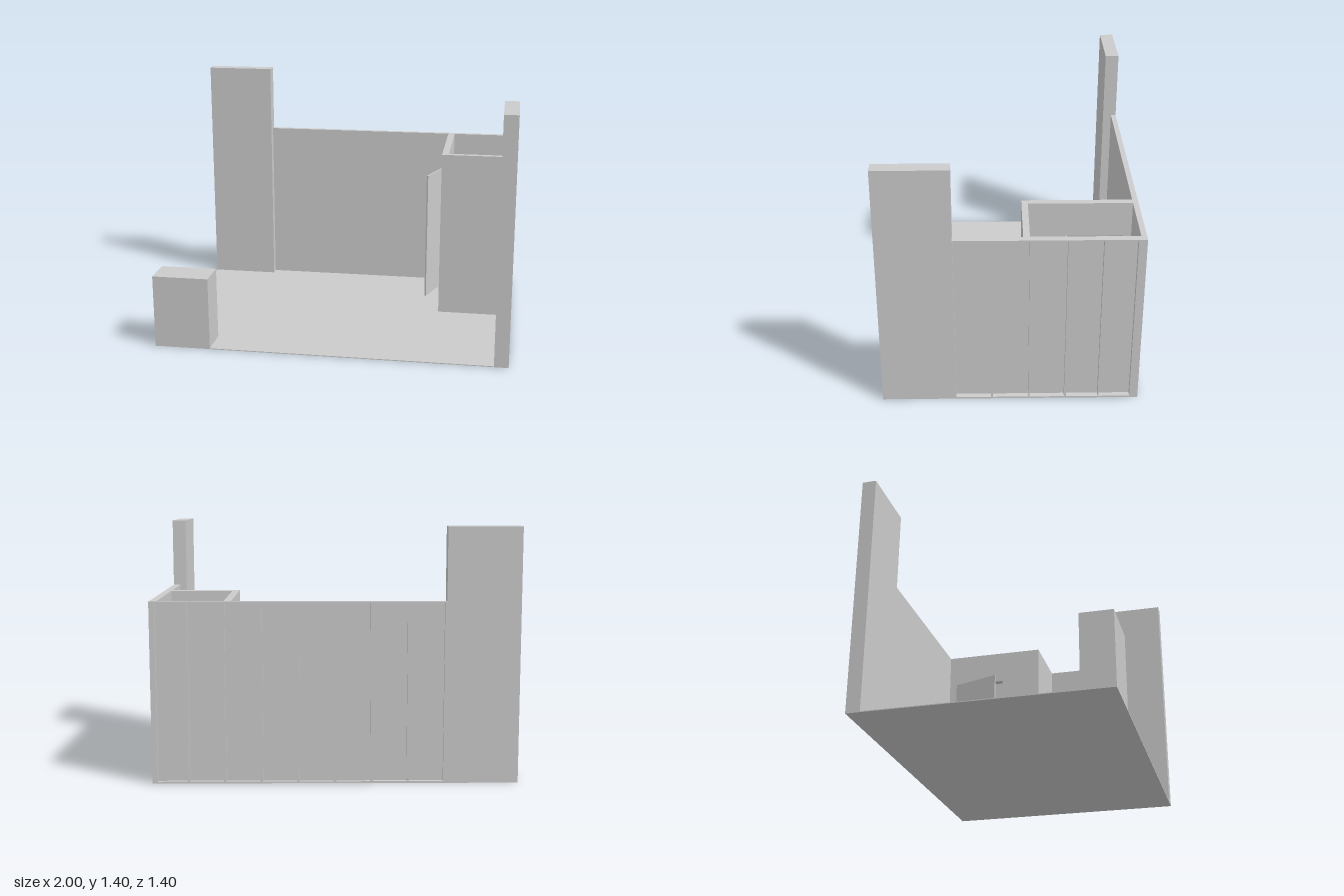
import * as THREE from 'three';

const material = new THREE.MeshStandardMaterial({ color: 0xcccccc, flatShading: true });

// Box given by its lower and upper limits on each axis
function block(name, [x0, x1], [y0, y1], [z0, z1]) {
  const mesh = new THREE.Mesh(new THREE.BoxGeometry(x1 - x0, y1 - y0, z1 - z0), material);
  mesh.position.set((x0 + x1) / 2, (y0 + y1) / 2, (z0 + z1) / 2);
  mesh.name = name;
  return mesh;
}

function rectangle(target, u0, u1, y0, y1) {
  target.moveTo(u0, y0);
  target.lineTo(u1, y0);
  target.lineTo(u1, y1);
  target.lineTo(u0, y1);
  target.closePath();
  return target;
}

// Upright sheet in u and y with rectangular openings, thickened along local z
function sheet(name, u0, u1, depth, openings) {
  const shape = rectangle(new THREE.Shape(), u0, u1, 0, 1);
  for (const [a, b, bottom, top] of openings) {
    shape.holes.push(rectangle(new THREE.Path(), a, b, bottom, top));
  }
  const mesh = new THREE.Mesh(new THREE.ExtrudeGeometry(shape, { depth, bevelEnabled: false }), material);
  mesh.name = name;
  return mesh;
}

export function createModel() {
  const group = new THREE.Group();
  group.name = 'exhibitionBooth';

  // Floor, tall end slabs and counter
  group.add(
    block('floor', [-1, 1], [0, 0.005], [-0.7, 0.7]),
    block('backTower', [-1, -0.6], [0, 1.4], [-0.7, -0.62]),
    block('sideTower', [0.92, 1], [0, 1.4], [0.3, 0.7]),
    block('counter', [-1, -0.68], [0, 0.42], [0.52, 0.7])
  );

  // Back wall: framed bays outside, smooth panel inside
  const backBays = [];
  for (let i = 0; i < 8; i++) {
    const start = -0.6 + i * 0.2;
    backBays.push([start + 0.01, i === 7 ? 0.97 : start + 0.195, 0.01, 0.993]);
  }
  const backFrame = sheet('backWallFrame', -0.6, 1, 0.02, backBays);
  backFrame.position.z = -0.7;
  group.add(backFrame, block('backWallPanel', [-0.6, 1], [0, 1], [-0.68, -0.67]));

  // Side wall with five bays
  const sideBays = [
    [-0.655, -0.486], [-0.48, -0.306], [-0.295, -0.106], [-0.098, 0.095], [0.108, 0.297]
  ].map(([a, b]) => [a, b, 0.01, 0.993]);
  const sideFrame = sheet('sideWallFrame', -0.67, 0.3, 0.03, sideBays);
  sideFrame.rotation.y = -Math.PI / 2;
  sideFrame.position.x = 1;
  group.add(sideFrame, block('sideWallPanel', [0.96, 0.97], [0, 1], [-0.67, 0.3]));

  // Corner storage room with a doorway
  const doorway = [-0.62, -0.31, 0.005, 0.8];
  const roomSide = sheet('storageSideWall', -0.67, -0.065, 0.04, [doorway]);
  roomSide.rotation.y = -Math.PI / 2;
  roomSide.position.x = 0.6;
  group.add(roomSide, block('storageFrontWall', [0.6, 0.96], [0, 1], [-0.1, -0.065]));

  // Open door leaf, swung about its rear edge
  const door = new THREE.Group();
  door.name = 'door';
  door.add(block('doorLeaf', [-0.01, 0], [0.005, 0.8], [0, 0.31]));
  door.position.set(0.565, 0, -0.62);
  door.rotation.y = -0.34;
  group.add(door);

  return group;
}
